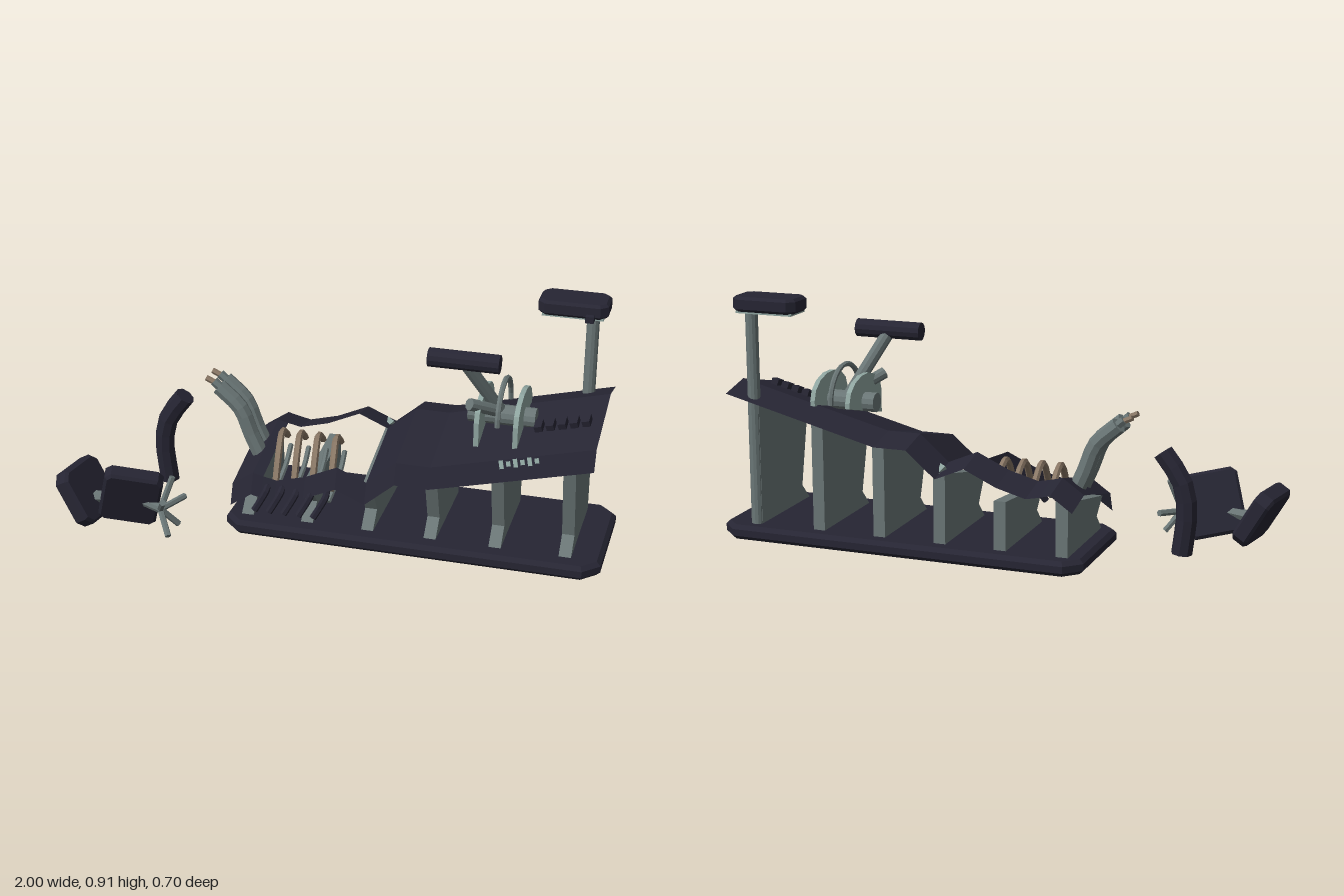
import * as THREE from 'three';

export function createModel() {
  const root = new THREE.Group();
  const mat = (name, color, extra = {}) => Object.assign(
    new THREE.MeshStandardMaterial({ color, flatShading: true, ...extra }), { name });
  const dark = mat('dark panel', 0x262533, { side: THREE.DoubleSide });
  const metal = mat('grey metal', 0x6a7676);
  const pale = mat('pale metal', 0x8fa5a0);
  const tan = mat('tan cable', 0x8a7866);
  const V = (a) => new THREE.Vector3(...a);

  function add(name, geo, material, pos = [0, 0, 0], rot = [0, 0, 0], parent = root) {
    const m = new THREE.Mesh(geo, material);
    m.name = name;
    m.position.set(...pos);
    m.rotation.set(...rot);
    parent.add(m);
    return m;
  }
  // Cylinder between two points
  function rod(name, a, b, r, material, sides = 10, parent = root) {
    const p = V(a), q = V(b), d = q.clone().sub(p);
    const m = add(name, new THREE.CylinderGeometry(r, r, d.length(), sides), material,
      p.clone().add(q).multiplyScalar(0.5).toArray(), [0, 0, 0], parent);
    m.quaternion.setFromUnitVectors(new THREE.Vector3(0, 1, 0), d.normalize());
    return m;
  }
  // Bent tube with closed ends
  function bent(name, pts, r, material, sides = 8, steps = 8) {
    const g = new THREE.Group();
    g.name = name;
    const curve = new THREE.CatmullRomCurve3(pts.map(V));
    add(name + 'Body', new THREE.TubeGeometry(curve, steps, r, sides), material, [0, 0, 0], [0, 0, 0], g);
    for (const t of [0, 1]) {
      const cap = add(name + 'Cap', new THREE.CircleGeometry(r, sides), material, curve.getPoint(t).toArray(), [0, 0, 0], g);
      cap.quaternion.setFromUnitVectors(new THREE.Vector3(0, 0, 1), curve.getTangent(t).multiplyScalar(t ? 1 : -1));
    }
    root.add(g);
    return g;
  }
  // Box with cut corners and bevelled rims, thickness along y
  function slab(w, h, d, cut, bevel) {
    const x = w / 2 - bevel, z = d / 2 - bevel, c = cut;
    const s = new THREE.Shape([[-x + c, -z], [x - c, -z], [x, -z + c], [x, z - c],
      [x - c, z], [-x + c, z], [-x, z - c], [-x, -z + c]].map((p) => new THREE.Vector2(...p)));
    const g = new THREE.ExtrudeGeometry(s, {
      depth: h - 2 * bevel, bevelEnabled: true, bevelSize: bevel, bevelThickness: bevel, bevelSegments: 1 });
    return g.translate(0, 0, -h / 2 + bevel).rotateX(-Math.PI / 2);
  }

  // Base plate
  add('base', slab(1.4, 0.055, 0.51, 0.05, 0.015), dark, [0.3, 0.032, -0.097]);

  // Hood shell: one cross-section swept along a height line, with a torn opening
  const line = [[-0.37, 0.265], [-0.29, 0.32], [-0.25, 0.31], [-0.2, 0.3], [-0.09, 0.33], [0.03, 0.385],
    [0.14, 0.338], [0.25, 0.433], [0.375, 0.433], [0.96, 0.582]];
  const section = [[-0.335, -0.03], [-0.2, 0], [0.11, -0.075], [0.14, -0.15]];
  const pos = [];
  const at = (i, j) => [line[i][0], line[i][1] + section[j][1], section[j][0]];
  for (let i = 0; i < line.length - 1; i++) for (let j = 0; j < 3; j++) {
    if (j === 1 && i >= 2 && i < 6) continue;
    const a = at(i, j), b = at(i + 1, j), c = at(i + 1, j + 1), d = at(i, j + 1);
    pos.push(...a, ...d, ...c, ...a, ...c, ...b);
  }
  const hoodGeo = new THREE.BufferGeometry();
  hoodGeo.setAttribute('position', new THREE.Float32BufferAttribute(pos, 3));
  hoodGeo.computeVertexNormals();
  add('hood', hoodGeo, dark);

  // Support ribs: back top and front top heights
  for (const [x, back, front] of [[-0.32, 0.26, 0.18], [-0.09, 0.24, 0.2], [0.14, 0.32, 0.232],
    [0.375, 0.405, 0.325], [0.615, 0.465, 0.385], [0.87, 0.53, 0.45]]) {
    const s = new THREE.Shape([[0.295, 0.058], [-0.095, 0.058], [-0.035, 0.12], [-0.103, front], [0.295, back]]
      .map((p) => new THREE.Vector2(...p)));
    add('rib', new THREE.ExtrudeGeometry(s, { depth: 0.045, bevelEnabled: false })
      .translate(0, 0, -0.0225).rotateY(Math.PI / 2), metal, [x, 0, 0]);
  }

  // Lamp post and head
  rod('post', [0.87, 0.058, -0.287], [0.87, 0.87, -0.287], 0.023, metal, 12);
  add('lampHead', slab(0.25, 0.055, 0.14, 0.02, 0.01), dark, [0.805, 0.885, -0.267]);
  add('lampStrip', new THREE.BoxGeometry(0.22, 0.009, 0.11), pale, [0.805, 0.855, -0.267]);
  add('lampKnob', new THREE.BoxGeometry(0.03, 0.024, 0.03), dark, [0.87, 0.865, -0.19]);

  // Lever drum, side plates, guard hoop and levers
  rod('drum', [0.47, 0.505, -0.088], [0.715, 0.505, -0.088], 0.037, metal, 12);
  const half = new THREE.Shape();
  half.moveTo(-0.14, -0.09);
  for (let i = 0; i <= 7; i++) {
    const a = Math.PI - (i / 7) * Math.PI;
    half.lineTo(0.14 * Math.cos(a), 0.085 * Math.sin(a));
  }
  half.lineTo(0.14, -0.02);
  for (const x of [0.525, 0.665]) {
    add('leverPlate', new THREE.ExtrudeGeometry(half, { depth: 0.018, bevelEnabled: false })
      .translate(0, 0, -0.009).rotateY(Math.PI / 2), pale, [x, 0.525, -0.085]);
  }
  add('guardHoop', new THREE.TorusGeometry(0.128, 0.01, 6, 14, Math.PI).rotateY(Math.PI / 2),
    metal, [0.597, 0.512, -0.088]);
  rod('lever', [0.585, 0.52, -0.085], [0.475, 0.745, 0.037], 0.024, metal);
  rod('leverHandle', [0.345, 0.755, 0.042], [0.6, 0.755, 0.042], 0.034, dark, 12);
  rod('brokenLever', [0.58, 0.535, -0.05], [0.495, 0.59, 0.04], 0.022, metal);

  // Button row and indicator plates
  for (let i = 0; i < 5; i++) {
    const x = 0.735 + i * 0.042;
    add('button', new THREE.BoxGeometry(0.028, 0.04, 0.045), dark, [x, 0.49 + (x - 0.735) * 0.256, -0.045], [0.24, 0, 0.25]);
  }
  for (let i = 0; i < 6; i++) {
    const x = 0.632 + i * 0.025;
    add('indicator', new THREE.BoxGeometry(0.015, i % 2 ? 0.018 : 0.03, 0.006), pale,
      [x, 0.41 + (x - 0.632) * 0.256, 0.122], [-0.38, 0, 0.25]);
  }
  add('chip', new THREE.TetrahedronGeometry(0.028), pale, [0.135, 0.33, -0.27]);

  // Broken conduits with bare wire tips
  for (const z of [-0.11, -0.04]) {
    bent('conduit', [[-0.3, 0.23, z], [-0.345, 0.33, z], [-0.385, 0.43, z], [-0.465, 0.505, z]], 0.031, metal, 8, 9);
    rod('wireTip', [-0.45, 0.495, z], [-0.485, 0.525, z], 0.017, metal, 6);
    rod('wireEnd', [-0.475, 0.517, z], [-0.515, 0.535, z], 0.011, tan, 6);
  }

  // Exposed cables arching over the opening
  [-0.245, -0.175, -0.105, -0.035].forEach((x, i) => {
    bent('cable', [[x, 0.27, -0.18], [x + 0.005, 0.325, -0.1], [x + 0.025, 0.3, 0.01], [x + 0.035, 0.2, 0.09]],
      0.013, tan, 6, 9);
    bent('innerCable', [[x + 0.03, 0.26, -0.12], [x + 0.045, 0.23, 0.0], [x + 0.03, 0.16, 0.1]], 0.01, metal, 6, 6);
  });
  // Torn strips curling over the front edge
  for (let i = 0; i < 5; i++) {
    const x = -0.24 + i * 0.056;
    bent('tornStrip', [[x, 0.2, 0.08], [x + 0.01, 0.195, 0.135], [x - 0.01, 0.155, 0.15], [x - 0.03, 0.12, 0.165]],
      0.013, dark, 6, 7);
  }

  // Loose bent armrest standing apart
  bent('looseArm', [[-0.625, 0.42, -0.102], [-0.695, 0.32, -0.102], [-0.715, 0.22, -0.102], [-0.7, 0.06, -0.102]],
    0.038, dark, 8, 6);

  // Toppled chair: seat, backrest, stem and splayed feet
  const chair = new THREE.Group();
  chair.name = 'chair';
  root.add(chair);
  add('seat', slab(0.215, 0.065, 0.24, 0.015, 0.01).rotateX(Math.PI / 2), dark,
    [-0.725, 0.153, 0.235], [0.35, 0.25, -0.3], chair);
  add('backrest', slab(0.22, 0.065, 0.22, 0.025, 0.01).rotateZ(Math.PI / 2), dark,
    [-0.91, 0.136, 0.215], [0, -0.17, 0.53], chair);
  rod('backBracket', [-0.88, 0.12, 0.22], [-0.78, 0.13, 0.23], 0.022, metal, 6, chair);
  rod('stem', [-0.7, 0.14, 0.23], [-0.6, 0.112, 0.237], 0.018, metal, 8, chair);
  const hub = [-0.61, 0.112, 0.237];
  for (const [x, y, z] of [[-0.56, 0.195, 0.335], [-0.57, 0.235, 0.203], [-0.55, 0.125, 0.135],
    [-0.555, 0.04, 0.2], [-0.555, 0.045, 0.31]]) rod('foot', hub, [x, y, z], 0.012, metal, 6, chair);

  return root;
}
